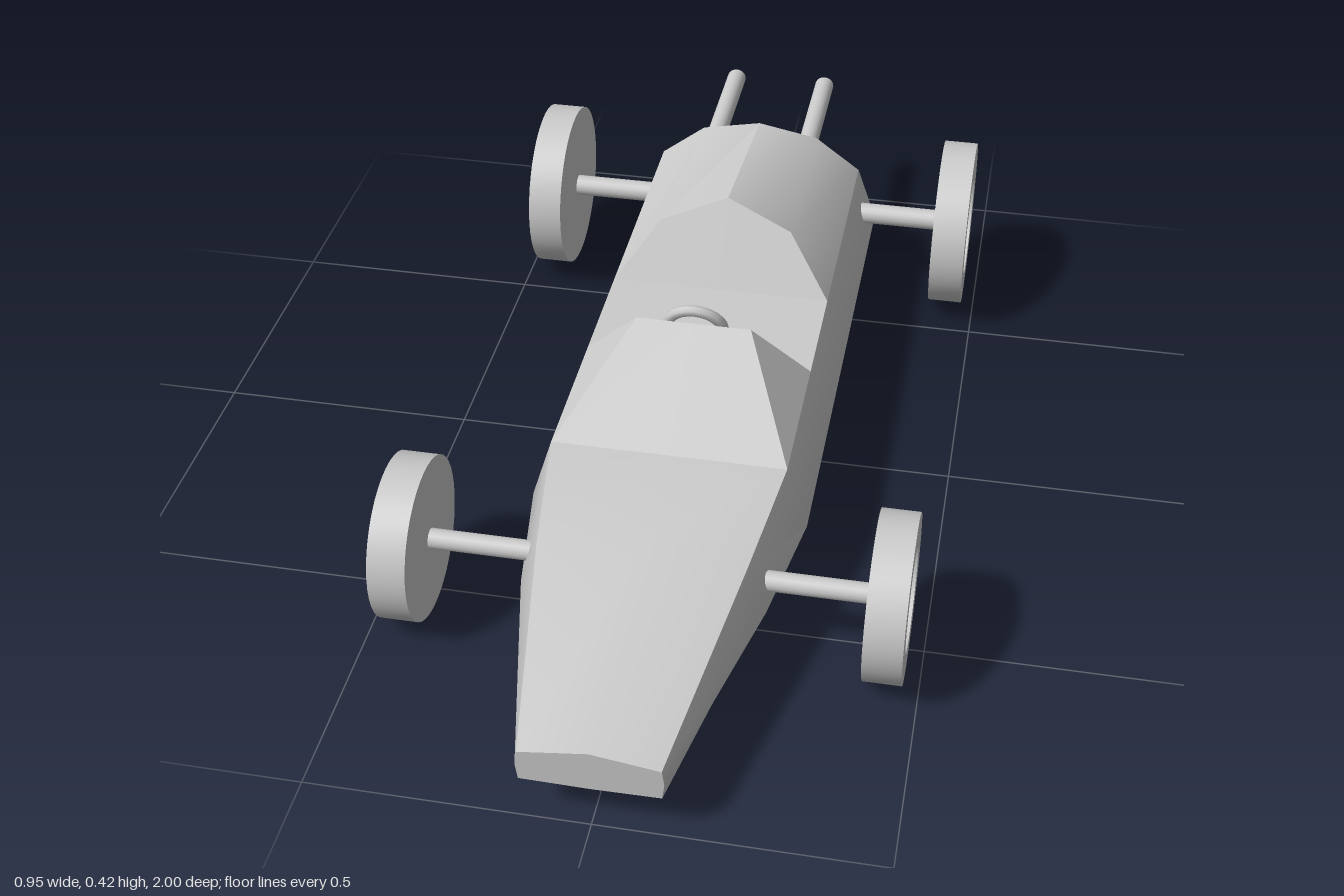
import * as THREE from 'three';
import { toCreasedNormals } from 'three/addons/utils/BufferGeometryUtils.js';

const material = new THREE.MeshStandardMaterial({ color: 0xcccccc });

function add(group, name, geometry, x = 0, y = 0, z = 0) {
  const mesh = new THREE.Mesh(geometry, material);
  mesh.name = name;
  mesh.position.set(x, y, z);
  group.add(mesh);
  return mesh;
}

// Half section from bottom centre to top centre, mirrored into a closed ring
function mirrorRing(half) {
  return [...half, ...half.slice(1, -1).reverse().map(([x, y, z]) => [-x, y, z])];
}

// Skin a row of rings (front to back), with optional fan caps around a point
function loft(rings, { front, back } = {}, crease = 0.8) {
  const pos = [];
  const tri = (...corners) => corners.forEach((c) => pos.push(...c));
  const n = rings[0].length;
  const last = rings[rings.length - 1];
  for (let j = 0; j < n; j++) {
    const k = (j + 1) % n;
    for (let i = 0; i < rings.length - 1; i++) {
      const a = rings[i], b = rings[i + 1];
      tri(a[j], b[j], a[k]);
      tri(a[k], b[j], b[k]);
    }
    if (front) tri(front, rings[0][j], rings[0][k]);
    if (back) tri(back, last[k], last[j]);
  }
  const geometry = new THREE.BufferGeometry();
  geometry.setAttribute('position', new THREE.Float32BufferAttribute(pos, 3));
  return toCreasedNormals(geometry, crease);
}

// Wheel with a flat inner side and a recessed outer hub, axis along y
function wheelGeometry(radius, hubRadius, width, depth) {
  const profile = [
    [0, 0], [radius, 0], [radius, width], [hubRadius, width],
    [hubRadius, width - depth], [0, width - depth],
  ].map(([x, y]) => new THREE.Vector2(x, y));
  return toCreasedNormals(new THREE.LatheGeometry(profile, 40), 0.6);
}

function rod(radius, length) {
  return new THREE.CylinderGeometry(radius, radius, length, 20);
}

export function createModel() {
  const car = new THREE.Group();
  car.name = 'racingCar';

  // Hull: tapered nose running into a constant tub
  const hullRings = [
    [[0, 0.088, 1], [0.12, 0.09, 1], [0.124, 0.122, 1], [0.12, 0.152, 1], [0, 0.17, 1]],
    [[0, 0.045, 0.58], [0.185, 0.045, 0.58], [0.222, 0.125, 0.58], [0.188, 0.225, 0.58], [0, 0.247, 0.58]],
    [[0, 0.045, 0.34], [0.22, 0.045, 0.34], [0.26, 0.125, 0.34], [0.22, 0.255, 0.34], [0, 0.255, 0.34]],
    [[0, 0.045, -0.7], [0.22, 0.045, -0.7], [0.26, 0.125, -0.735], [0.22, 0.255, -0.715], [0, 0.255, -0.715]],
  ].map(mirrorRing);
  add(car, 'hull', loft(hullRings, { front: [0, 0.13, 1] }));

  // Cowl in front of the cockpit
  const cowlRings = [
    [[0, 0.255, 0.34], [0.22, 0.255, 0.34], [0.22, 0.255, 0.34], [0, 0.255, 0.34]],
    [[0, 0.255, 0.04], [0.22, 0.255, 0.04], [0.11, 0.375, 0.09], [0, 0.375, 0.09]],
  ].map(mirrorRing);
  add(car, 'cowl', loft(cowlRings, { back: [0, 0.255, 0.04] }, 0.3));

  // Engine cover behind the cockpit
  const coverRings = [
    [[0, 0.255, -0.2], [0.22, 0.255, -0.2], [0.133, 0.37, -0.263], [0, 0.42, -0.29]],
    [[0, 0.255, -0.715], [0.22, 0.255, -0.715], [0.125, 0.335, -0.7], [0, 0.365, -0.69]],
  ].map(mirrorRing);
  add(car, 'engineCover', loft(coverRings, { front: [0, 0.255, -0.2] }, 0.6));

  // Pointed tail closing the hull and the engine cover
  const tailRing = mirrorRing([
    [0, 0.045, -0.7], [0.22, 0.045, -0.7], [0.26, 0.125, -0.735],
    [0.22, 0.255, -0.715], [0.125, 0.335, -0.7], [0, 0.365, -0.69],
  ]);
  add(car, 'tail', loft([tailRing], { back: [0, 0.135, -0.83] }, 0.6));

  // Steering wheel
  const steering = add(car, 'steeringWheel', new THREE.TorusGeometry(0.054, 0.011, 8, 24), 0, 0.347, 0.062);
  steering.rotation.x = 0.35;

  // Axles, wheels and hub bolts
  const axles = [
    { name: 'front', z: 0.53, y: 0.155, radius: 0.153, hub: 0.097, rod: 0.019, inner: 0.402 },
    { name: 'rear', z: -0.655, y: 0.183, radius: 0.175, hub: 0.11, rod: 0.022, inner: 0.405 },
  ];
  const width = 0.07, depth = 0.03;
  for (const a of axles) {
    add(car, a.name + 'Axle', rod(a.rod, 2 * a.inner), 0, a.y, a.z).rotation.z = Math.PI / 2;
    for (const side of [1, -1]) {
      const label = a.name + (side > 0 ? 'Left' : 'Right');
      const wheel = add(car, label + 'Wheel', wheelGeometry(a.radius, a.hub, width, depth), side * a.inner, a.y, a.z);
      wheel.rotation.z = -side * Math.PI / 2;
      const bolt = add(car, label + 'HubBolt', rod(0.013, 0.04), side * (a.inner + width - depth), a.y, a.z);
      bolt.rotation.z = Math.PI / 2;
    }
  }

  // Twin exhaust pipes
  for (const side of [1, -1]) {
    const pipe = add(car, side > 0 ? 'leftExhaust' : 'rightExhaust', rod(0.021, 0.34), side * 0.103, 0.3, -0.83);
    pipe.rotation.x = Math.PI / 2;
  }

  return car;
}
